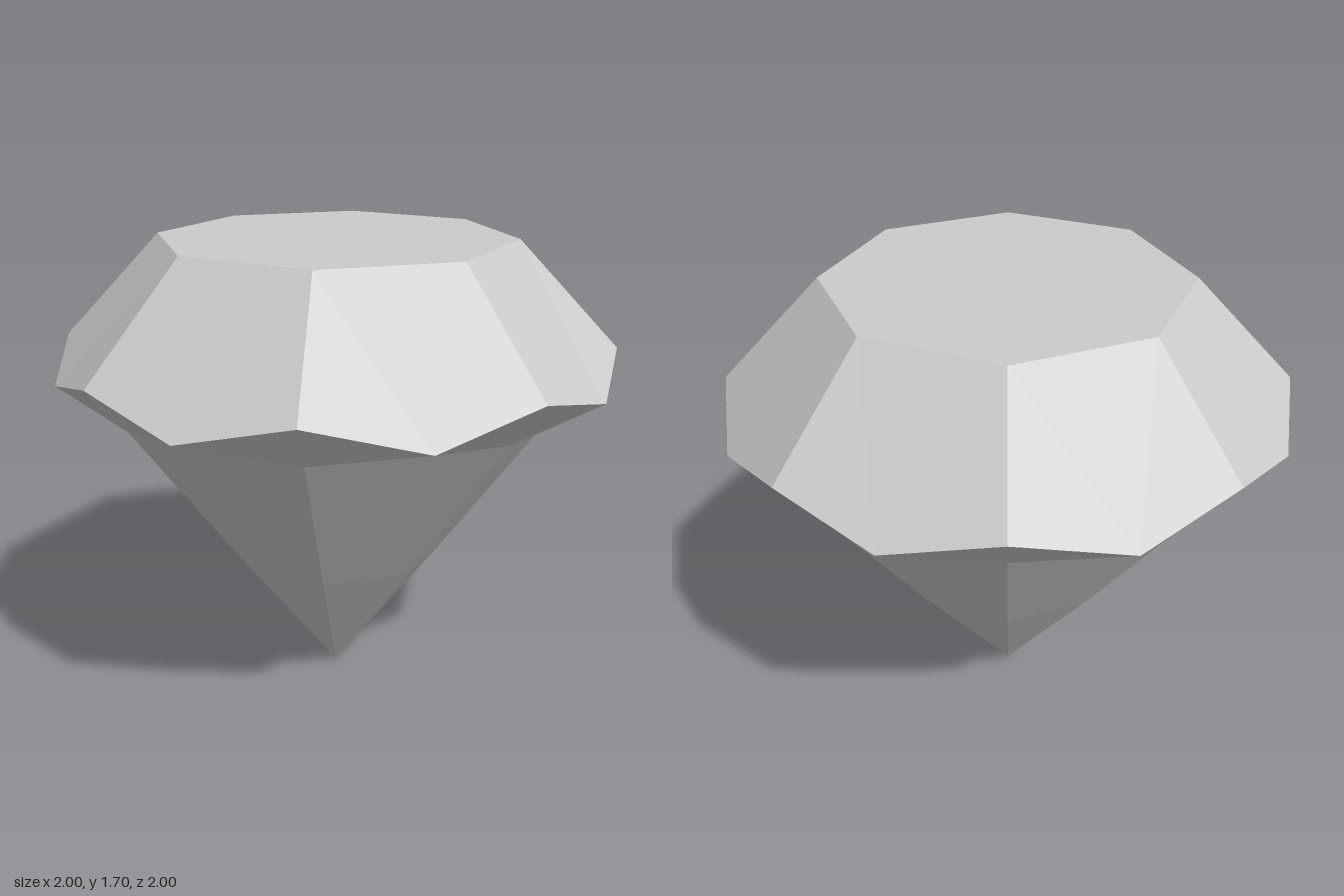
import * as THREE from 'three';

const TABLE = [0.64, 1.7], GIRDLE_HIGH = [1, 1.325], GIRDLE_LOW = [1, 1.235];
const RING = [0.86, 1.16], WAIST = [0.412, 0.54], TIP = [0, 0];

// Point on a [radius, height] ring, k counted in sixteenths of a turn
function at([r, y], k) {
  const a = (k * Math.PI) / 8;
  return [r * Math.sin(a), y, r * Math.cos(a)];
}

// Flat-shaded mesh from convex facets, corners counter-clockwise from outside
function facetMesh(name, facets, material) {
  const positions = [];
  for (const f of facets) {
    for (let i = 1; i < f.length - 1; i++) positions.push(...f[0], ...f[i], ...f[i + 1]);
  }
  const geometry = new THREE.BufferGeometry();
  geometry.setAttribute('position', new THREE.Float32BufferAttribute(positions, 3));
  geometry.computeVertexNormals();
  const mesh = new THREE.Mesh(geometry, material);
  mesh.name = name;
  return mesh;
}

export function createModel() {
  const group = new THREE.Group();
  group.name = 'cutGem';
  const material = new THREE.MeshStandardMaterial({ color: 0xcccccc, flatShading: true });

  const table = [[]], crown = [], girdle = [], pavilion = [];
  for (let k = 0; k < 16; k += 2) {
    table[0].push(at(TABLE, k));
    // Five-sided crown facet
    crown.push([at(GIRDLE_LOW, k + 1), at(GIRDLE_HIGH, k + 2), at(TABLE, k + 2), at(TABLE, k), at(GIRDLE_HIGH, k)]);
    // Kite under each high girdle corner, triangle under each low one
    girdle.push([at(RING, k), at(GIRDLE_LOW, k + 1), at(GIRDLE_HIGH, k), at(GIRDLE_LOW, k - 1)]);
    girdle.push([at(RING, k), at(RING, k + 2), at(GIRDLE_LOW, k + 1)]);
    // Slightly bowed pavilion facet down to the tip
    pavilion.push([at(WAIST, k), at(WAIST, k + 2), at(RING, k + 2), at(RING, k)]);
    pavilion.push([at(TIP, k), at(WAIST, k + 2), at(WAIST, k)]);
  }

  group.add(
    facetMesh('table', table, material),
    facetMesh('crown', crown, material),
    facetMesh('girdle', girdle, material),
    facetMesh('pavilion', pavilion, material)
  );
  return group;
}
